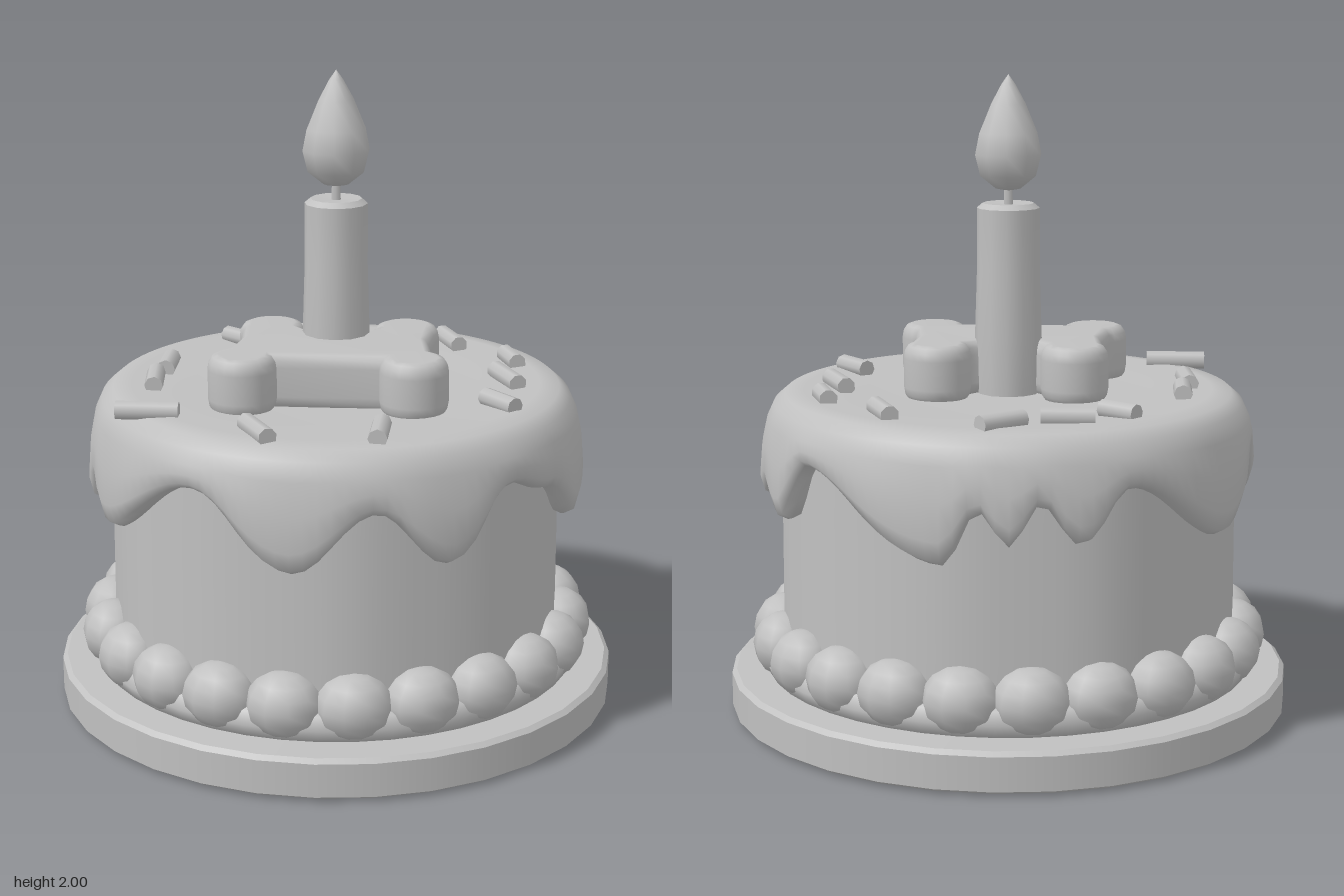
import * as THREE from 'three';
import { mergeVertices } from 'three/addons/utils/BufferGeometryUtils.js';

const clay = new THREE.MeshStandardMaterial({ color: 0xc0c0c0 });
clay.name = 'clay grey';

const V2 = (p) => new THREE.Vector2(p[0], p[1]);

function mesh(name, geometry, parent) {
  const m = new THREE.Mesh(geometry, clay);
  m.name = name;
  parent.add(m);
  return m;
}

// Welds seams so that edited geometry is shaded smoothly
function smooth(geometry) {
  geometry.deleteAttribute('uv');
  geometry.deleteAttribute('normal');
  const g = mergeVertices(geometry, 1e-4);
  g.computeVertexNormals();
  return g;
}

const lathe = (points, sides) => new THREE.LatheGeometry(points.map(V2), sides);

// Lower edge of the icing: [degrees round from the front, height], drips and arches in turn
const HEM = [[-62, 0.65], [-30, 0.87], [-6, 0.65], [13, 0.83], [30, 0.66], [47, 0.86], [62, 0.8],
  [78, 0.65], [94, 0.78], [101, 0.7], [107, 0.75], [118, 0.67], [130, 0.87], [168, 0.64], [176, 0.8],
  [183, 0.7], [190, 0.82], [199, 0.7], [211, 0.85], [241, 0.65], [264, 0.85], [281, 0.66], [289, 0.76], [298, 0.65]];

function hemHeight(angle) {
  let d = THREE.MathUtils.radToDeg(angle);
  d = ((d + 62) % 360 + 360) % 360 - 62;
  for (let i = 0; i < HEM.length - 1; i++) {
    const [a, ya] = HEM[i], [b, yb] = HEM[i + 1];
    if (d <= b) return ya + (yb - ya) * (1 - Math.cos(Math.PI * (d - a) / (b - a))) / 2;
  }
  return HEM[0][1];
}

// Icing: a lathed cap whose skirt is stretched down to the wavy hem
function icingGeometry() {
  const shoulder = 0.95;
  // below the shoulder, y holds the fraction of the way up from the hem
  const g = lathe([[0.69, 0.06], [0.735, 0], [0.768, 0.06], [0.782, 0.25], [0.775, 0.6],
    [0.758, 0.95], [0.735, 0.99], [0.7, 1.02], [0.64, 1.027], [0.45, 1.015], [0.2, 1.01], [0, 1.01]], 120);
  const p = g.attributes.position;
  for (let i = 0; i < p.count; i++) {
    const x = p.getX(i), y = p.getY(i), z = p.getZ(i);
    if (y >= shoulder) continue;
    const hem = hemHeight(Math.atan2(x, z));
    const puff = 1 - 0.03 * THREE.MathUtils.smoothstep(hem, 0.7, 0.87) * (1 - y);
    p.setXYZ(i, x * puff, hem + (shoulder - hem) * y, z * puff);
  }
  return smooth(g);
}

// Bone biscuit: four round knobs joined by a thick middle
function boneGeometry() {
  const s = new THREE.Shape();
  const knob = (x, y, r, from, to) =>
    s.absarc(x, y, r, THREE.MathUtils.degToRad(from), THREE.MathUtils.degToRad(to), false);
  s.moveTo(0.17, -0.255);
  knob(0.255, -0.28, 0.085, 165, 425);
  s.lineTo(0.275, -0.06);
  knob(0.215, 0.1, 0.085, -30, 205);
  s.lineTo(0.08, 0);
  s.lineTo(-0.08, 0);
  knob(-0.21, 0.105, 0.085, -25, 210);
  s.lineTo(-0.275, -0.06);
  knob(-0.265, -0.28, 0.085, 115, 375);
  const g = new THREE.ExtrudeGeometry(s, {
    depth: 0.09, bevelEnabled: true, bevelThickness: 0.045, bevelSize: 0.03,
    bevelOffset: -0.01, bevelSegments: 3, curveSegments: 8,
  });
  g.rotateX(-Math.PI / 2);
  g.translate(0, 1.045, 0);
  return smooth(g);
}

// Sprinkles on the icing: start x, z and end x, z
const SPRINKLES = [
  [-0.07, -0.55, 0.05, -0.65], [-0.28, -0.52, -0.12, -0.52], [-0.4, -0.47, -0.3, -0.39],
  [0.32, -0.53, 0.38, -0.38], [0.53, -0.3, 0.57, -0.18], [0.5, -0.1, 0.57, 0.06],
  [0.47, 0.2, 0.56, 0.31], [0.17, 0.49, 0.165, 0.65], [-0.23, 0.51, -0.15, 0.66],
  [-0.63, 0.42, -0.44, 0.42], [-0.545, -0.17, -0.545, -0.03], [-0.57, 0, -0.555, 0.16],
];

export function createModel() {
  const cake = new THREE.Group();
  cake.name = 'birthdayCake';

  // Board
  mesh('board', lathe([[0, 0.005], [0.87, 0.01], [0.87, 0.01], [0.885, 0.02], [0.885, 0.02], [0.885, 0.125],
    [0.885, 0.125], [0.87, 0.138], [0.87, 0.138], [0, 0.14]], 32), cake);

  // Sponge, with slightly uneven sides
  const sponge = new THREE.CylinderGeometry(0.708, 0.713, 0.82, 48, 4, true);
  const sp = sponge.attributes.position;
  for (let i = 0; i < sp.count; i++) {
    const a = Math.atan2(sp.getX(i), sp.getZ(i));
    const k = 1 + 0.007 * Math.sin(7 * a + 1) + 0.005 * Math.sin(11 * a);
    sp.setX(i, sp.getX(i) * k);
    sp.setZ(i, sp.getZ(i) * k);
  }
  sponge.translate(0, 0.54, 0);
  mesh('sponge', smooth(sponge), cake);

  // Piped cream border
  const border = new THREE.Group();
  border.name = 'creamBorder';
  cake.add(border);
  const beadCount = 22;
  const bead = new THREE.SphereGeometry(1, 10, 8);
  for (let i = 0; i < beadCount; i++) {
    const a = (i + 0.5) / beadCount * Math.PI * 2;
    const b = mesh('creamBead', bead, border);
    b.position.set(0.722 * Math.sin(a), 0.235, 0.722 * Math.cos(a));
    b.rotation.y = a;
    b.scale.set(0.118, 0.102, 0.1);
  }
  const base = mesh('creamBase', new THREE.TorusGeometry(0.73, 0.055, 8, 44), border);
  base.rotation.x = Math.PI / 2;
  base.position.y = 0.18;

  // Icing and bone biscuit
  mesh('icing', icingGeometry(), cake);
  mesh('boneBiscuit', boneGeometry(), cake);

  // Sprinkles
  for (const [x0, z0, x1, z1] of SPRINKLES) {
    const s = mesh('sprinkle', new THREE.CylinderGeometry(0.029, 0.029, Math.hypot(x1 - x0, z1 - z0), 8), cake);
    s.position.set((x0 + x1) / 2, 1.038, (z0 + z1) / 2);
    s.quaternion.setFromUnitVectors(new THREE.Vector3(0, 1, 0),
      new THREE.Vector3(x1 - x0, 0, z1 - z0).normalize());
  }

  // Candle, wick and flame
  mesh('candle', lathe([[0.1, 1.0], [0.105, 1.18], [0.098, 1.4], [0.098, 1.55], [0.098, 1.59],
    [0.098, 1.59], [0.08, 1.605], [0.08, 1.605], [0, 1.6]], 12), cake);
  const wick = mesh('wick', new THREE.CylinderGeometry(0.014, 0.016, 0.1, 6), cake);
  wick.position.y = 1.64;
  mesh('flame', lathe([[0, 1.642], [0.04, 1.65], [0.09, 1.69], [0.106, 1.755], [0.093, 1.82],
    [0.055, 1.91], [0.022, 1.97], [0, 2]], 10), cake);

  return cake;
}
